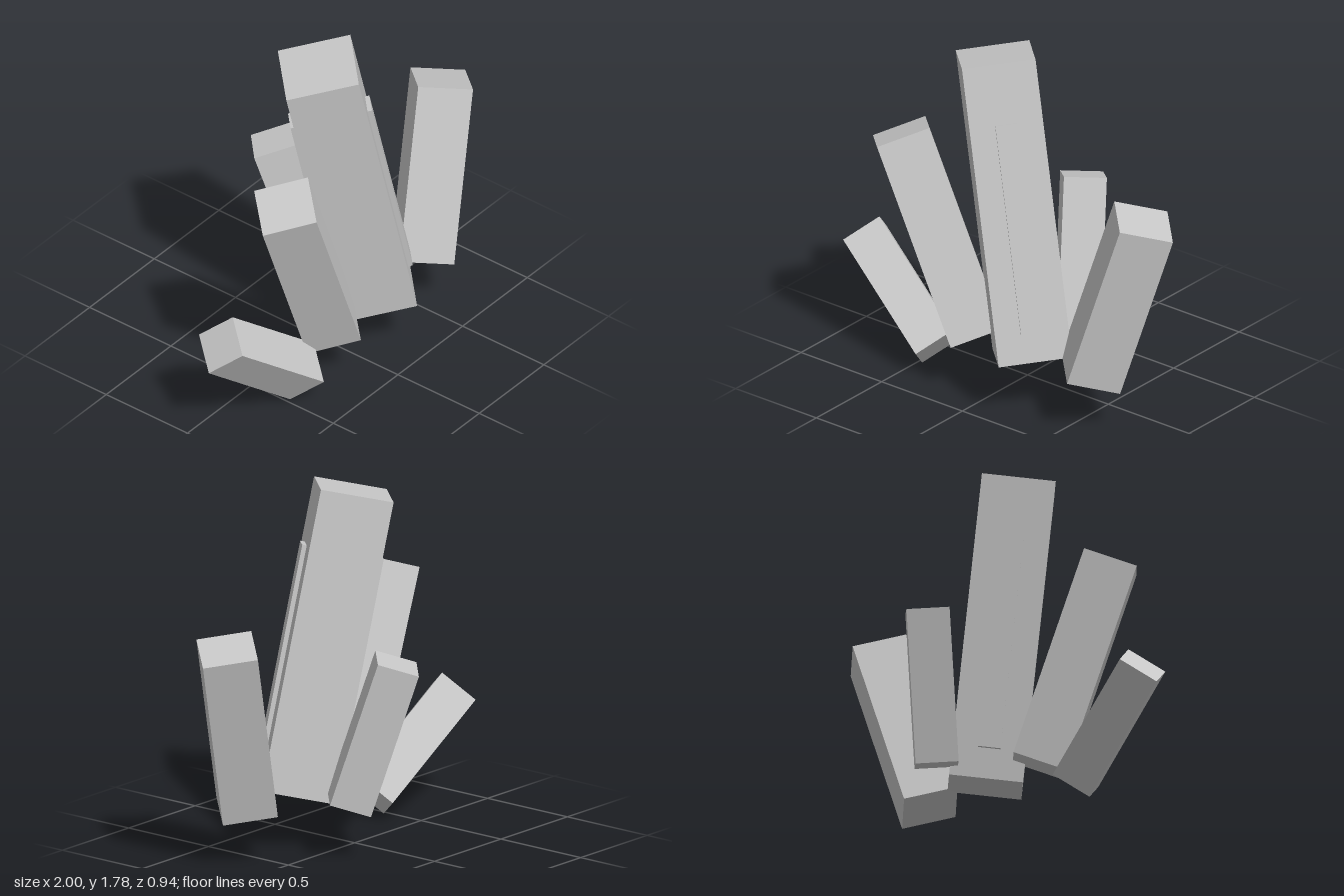
import * as THREE from 'three';

const stone = new THREE.MeshStandardMaterial({ color: 0xc8c8c8 });
stone.name = 'pale grey stone';

// name, base centre, top centre, width of the square section
const SHARDS = [
  ['mainShard', [0.199, 0.271, 0.21], [-0.116, 1.735, 0.102], 0.358],
  ['frontShard', [-0.16, 0.267, 0.207], [-0.572, 1.24, 0.262], 0.268],
  ['sideShard', [0.56, 0.274, 0.208], [0.816, 1.135, 0.12], 0.268],
  ['backShard', [0.201, 0.271, -0.133], [0.078, 0.985, -0.331], 0.208],
  ['lowShard', [-0.386, 0.122, 0.217], [-0.906, 0.541, 0.13], 0.208],
];

function box(name, w, h, d) {
  const mesh = new THREE.Mesh(new THREE.BoxGeometry(w, h, d), stone);
  mesh.name = name;
  // one edge of the square section faces forward
  mesh.rotation.y = Math.PI / 4;
  return mesh;
}

// Square prism leaning along the line from base to top
function shard([name, base, top, width]) {
  const a = new THREE.Vector3(...base);
  const b = new THREE.Vector3(...top);
  const up = b.clone().sub(a).normalize();
  const right = up.clone().cross(new THREE.Vector3(0, 0, 1)).normalize();
  const front = right.clone().cross(up);

  const group = new THREE.Group();
  group.name = name;
  group.quaternion.setFromRotationMatrix(new THREE.Matrix4().makeBasis(right, up, front));
  group.position.copy(a).add(b).multiplyScalar(0.5);
  group.add(box(name + 'Body', width, a.distanceTo(b), width));
  return group;
}

export function createModel() {
  const model = new THREE.Group();
  model.name = 'shardCluster';
  const shards = SHARDS.map(shard);
  model.add(...shards);

  // Long raised strip on two opposite faces of the main shard
  const strip = box('raisedStrip', 0.108, 1.05, 0.402);
  strip.position.y = -0.075;
  shards[0].add(strip);
  return model;
}
